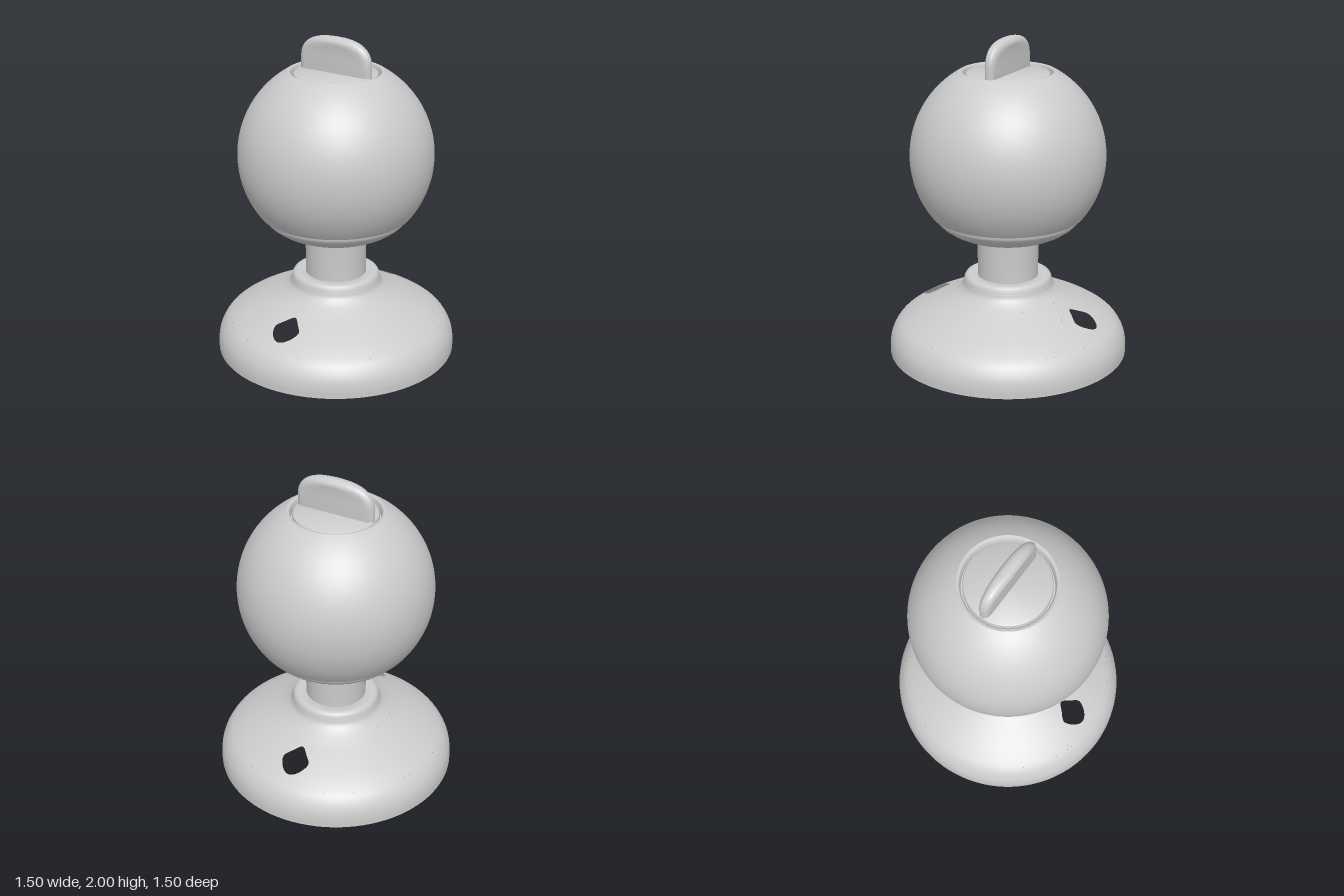
import * as THREE from 'three';
import { toCreasedNormals } from 'three/addons/utils/BufferGeometryUtils.js';
import { ParametricGeometry } from 'three/addons/geometries/ParametricGeometry.js';

const material = new THREE.MeshStandardMaterial({ color: 0xcccccc });
const shellMaterial = new THREE.MeshStandardMaterial({ color: 0xcccccc, side: THREE.DoubleSide });

function addMesh(parent, name, geometry, mat = material) {
  const mesh = new THREE.Mesh(geometry, mat);
  mesh.name = name;
  parent.add(mesh);
  return mesh;
}

// Turned part from [radius, height] pairs, listed bottom to top
function turned(points, crease = 0.6) {
  const profile = points.map(([r, y]) => new THREE.Vector2(r, y));
  return toCreasedNormals(new THREE.LatheGeometry(profile, 96), crease);
}

// Flared base outline
const baseCurve = new THREE.CatmullRomCurve3([
  [0.75, 0], [0.749, 0.06], [0.735, 0.12], [0.695, 0.185], [0.62, 0.24],
  [0.5, 0.303], [0.39, 0.355], [0.315, 0.4], [0.287, 0.43], [0.277, 0.46],
].map(([r, y]) => new THREE.Vector3(r, y, 0)));

function baseRadius(y) {
  let low = 0, high = 1;
  for (let i = 0; i < 30; i++) {
    const mid = (low + high) / 2;
    if (baseCurve.getPoint(mid).y < y) low = mid; else high = mid;
  }
  return baseCurve.getPoint(low).x;
}

function onBase(angle, y, target) {
  const r = baseRadius(y);
  target.set(r * Math.sin(angle), y, r * Math.cos(angle));
}

function baseBand(a0, a1, y0, y1, slices, rows) {
  return new ParametricGeometry((u, v, target) =>
    onBase(a0 + (a1 - a0) * u, y0 + (y1 - y0) * v, target), slices, rows);
}

// Patch of the base wall with a rounded hole in its middle
const patch = { angle: 0.3, y: 0.29, half: 0.085 };
const holeOutline = new THREE.CatmullRomCurve3([
  [0.09, 0], [0.052, 0.026], [0, 0.044], [-0.052, 0.026],
  [-0.09, 0], [-0.052, -0.031], [0, -0.046], [0.052, -0.031],
].map(([x, y]) => new THREE.Vector3(x, y, 0)), true);

function holedPatch(centre) {
  return new ParametricGeometry((u, v, target) => {
    const c = Math.cos(u * Math.PI * 2), s = Math.sin(u * Math.PI * 2);
    const k = Math.max(Math.abs(c), Math.abs(s));
    const hole = holeOutline.getPoint(((u % 1) + 1) % 1);
    const angle = THREE.MathUtils.lerp(patch.angle * c / k, hole.x / 0.54, v);
    const dy = THREE.MathUtils.lerp(patch.half * s / k, hole.y, v);
    onBase(centre + angle, patch.y + dy, target);
  }, 64, 6);
}

function createBase() {
  const base = new THREE.Group();
  base.name = 'base';
  const y0 = patch.y - patch.half, y1 = patch.y + patch.half;
  addMesh(base, 'baseSkirt', baseBand(0, Math.PI * 2, 0, y0, 96, 14), shellMaterial);
  addMesh(base, 'baseShoulder', baseBand(0, Math.PI * 2, y1, 0.46, 96, 10), shellMaterial);
  for (const centre of [0, Math.PI]) {
    const side = centre === 0 ? 'front' : 'back';
    addMesh(base, side + 'HoleWall', holedPatch(centre), shellMaterial);
    addMesh(base, side + 'ToSideWall', baseBand(centre + patch.angle,
      centre + Math.PI - patch.angle, y0, y1, 44, 10), shellMaterial);
  }
  // Rounded collar around the stem
  addMesh(base, 'collar', turned([
    [0.277, 0.46], [0.273, 0.48], [0.265, 0.494], [0.25, 0.502],
    [0.235, 0.503], [0.215, 0.5], [0.18, 0.495],
  ]), shellMaterial);
  return base;
}

// Ball-shaped housing with a flat opening on top
function createHousing() {
  const centre = 1.27, radius = 0.6;
  const from = Math.asin((0.9 - centre) / radius), to = Math.asin((1.795 - centre) / radius);
  const points = [[0.4, 0.905], [0.455, 0.9]];
  for (let i = 0; i <= 40; i++) {
    const a = from + (to - from) * i / 40;
    points.push([radius * Math.cos(a), centre + radius * Math.sin(a)]);
  }
  points.push([0.275, 1.792], [0.268, 1.78], [0.266, 1.74], [0.23, 1.74]);
  return turned(points);
}

// Grip fin: rounded outline, thinner toward its ends
function createFin() {
  const w = 0.21, bevel = 0.04;
  const shape = new THREE.Shape();
  shape.moveTo(-w, 1.75);
  shape.lineTo(w, 1.75);
  shape.lineTo(w, 1.85);
  shape.bezierCurveTo(w, 1.925, 0.15, 1.96, 0, 1.96);
  shape.bezierCurveTo(-0.15, 1.96, -w, 1.925, -w, 1.85);
  shape.closePath();
  const geometry = new THREE.ExtrudeGeometry(shape, {
    depth: 0.01, bevelThickness: bevel, bevelSize: bevel, bevelSegments: 8, curveSegments: 20,
  });
  geometry.translate(0, 0, -0.005);
  const p = geometry.attributes.position;
  for (let i = 0; i < p.count; i++) {
    p.setZ(i, p.getZ(i) * (1 - 0.35 * (p.getX(i) / 0.25) ** 2));
  }
  return toCreasedNormals(geometry, 0.7);
}

export function createModel() {
  const model = new THREE.Group();
  model.name = 'ballHeadStand';
  model.add(createBase());

  addMesh(model, 'stem', turned([[0, 0.47], [0.19, 0.47], [0.19, 0.7], [0.195, 0.78]]));

  // Shallow cup under the ball
  addMesh(model, 'lowerCup', turned([
    [0.15, 0.765], [0.23, 0.766], [0.28, 0.773], [0.33, 0.788], [0.375, 0.811],
    [0.415, 0.84], [0.44, 0.865], [0.45, 0.882], [0.45, 0.91],
  ]));
  addMesh(model, 'ballHousing', createHousing());

  // Dial in the opening, with its grip
  const dial = new THREE.Group();
  dial.name = 'dial';
  addMesh(dial, 'dialDisc', turned([
    [0.255, 1.735], [0.255, 1.772], [0.252, 1.78], [0.244, 1.785], [0, 1.785],
  ]));
  addMesh(dial, 'dialGrip', createFin());
  model.add(dial);
  return model;
}
